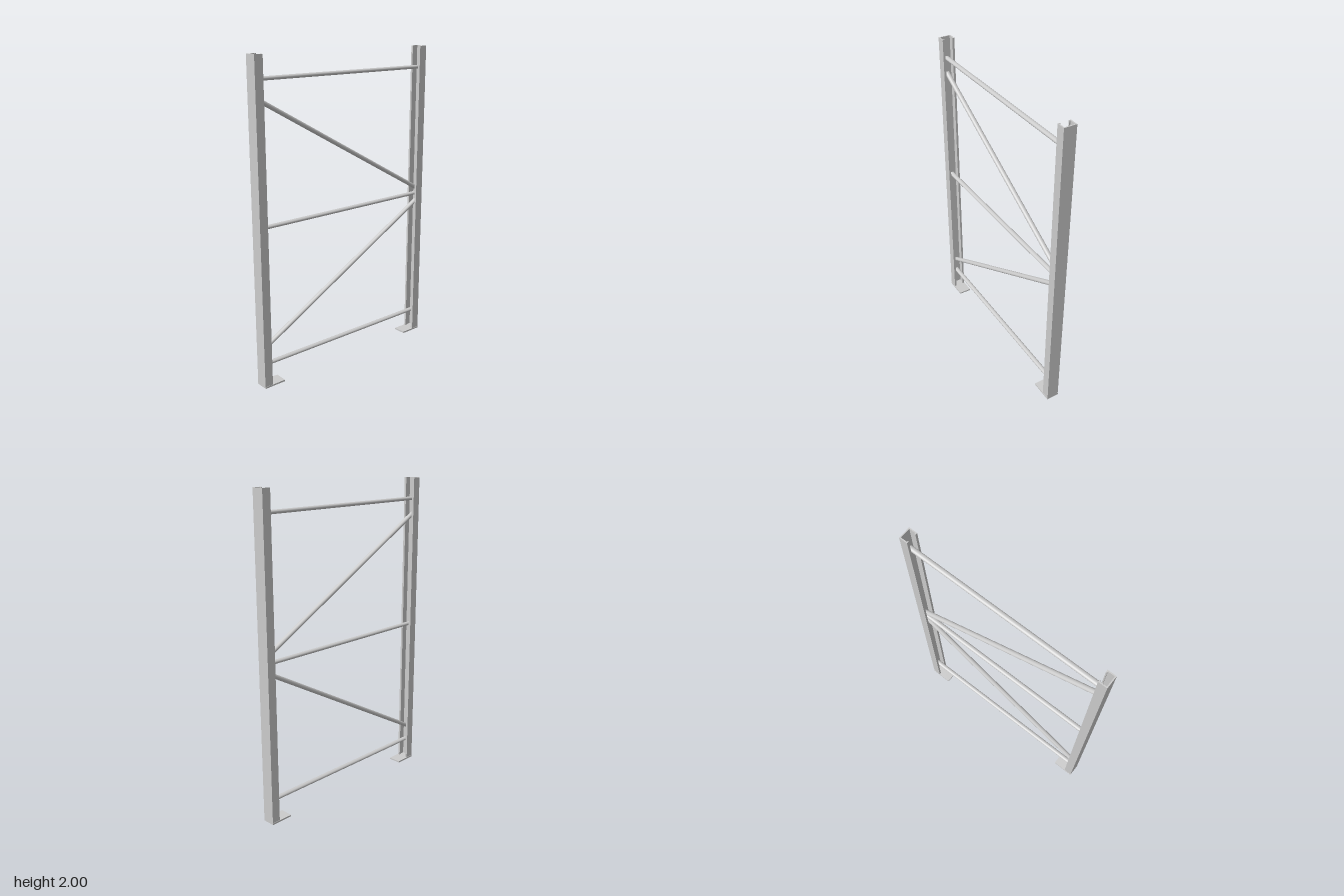
import * as THREE from 'three';

const HEIGHT = 2, HALF_DEPTH = 0.665, HALF_WIDTH = 0.04;

// Lipped C-section, open towards the middle of the frame
function uprightGeometry() {
  const t = 0.007, zo = HALF_DEPTH, zi = 0.61, lip = 0.026;
  const half = [
    [HALF_WIDTH, zo], [HALF_WIDTH, zi], [lip, zi], [lip, zi + t],
    [HALF_WIDTH - t, zi + t], [HALF_WIDTH - t, zo - t],
  ];
  const outline = [...half, ...half.map(([x, z]) => [-x, z]).reverse()];
  const shape = new THREE.Shape(outline.map(([x, z]) => new THREE.Vector2(x, -z)));
  const geo = new THREE.ExtrudeGeometry(shape, { depth: HEIGHT, bevelEnabled: false });
  return geo.rotateX(-Math.PI / 2);
}

export function createModel() {
  const root = new THREE.Group();
  root.name = 'uprightFrame';
  const mat = new THREE.MeshStandardMaterial({ color: 0xcccccc });

  // Two posts, each on a foot plate reaching inwards
  const postGeo = uprightGeometry();
  const plateGeo = new THREE.BoxGeometry(0.084, 0.01, 0.145);
  for (const [name, turn] of [['front', 0], ['rear', Math.PI]]) {
    const end = new THREE.Group();
    end.name = name + 'Upright';
    const post = new THREE.Mesh(postGeo, mat);
    post.name = name + 'Post';
    const plate = new THREE.Mesh(plateGeo, mat);
    plate.name = name + 'FootPlate';
    plate.position.set(0, 0.005, HALF_DEPTH - 0.0725);
    end.add(post, plate);
    end.rotation.y = turn;
    root.add(end);
  }

  // Tubular braces running from the front post to the rear post
  const addBrace = (name, yFront, yRear, halfHeight) => {
    const a = new THREE.Vector3(0, yFront, 0.648);
    const b = new THREE.Vector3(0, yRear, -0.648);
    const geo = new THREE.CylinderGeometry(1, 1, a.distanceTo(b), 20);
    geo.scale(0.016, 1, halfHeight);
    const brace = new THREE.Mesh(geo, mat);
    brace.name = name;
    brace.position.addVectors(a, b).multiplyScalar(0.5);
    brace.rotation.x = Math.atan2(b.z - a.z, b.y - a.y);
    root.add(brace);
  };
  addBrace('bottomBrace', 0.142, 0.142, 0.012);
  addBrace('middleBrace', 1.01, 1.01, 0.012);
  addBrace('topBrace', 1.865, 1.865, 0.012);
  addBrace('lowerDiagonal', 0.241, 0.959, 0.0135);
  addBrace('upperDiagonal', 1.764, 1.046, 0.0135);

  return root;
}
